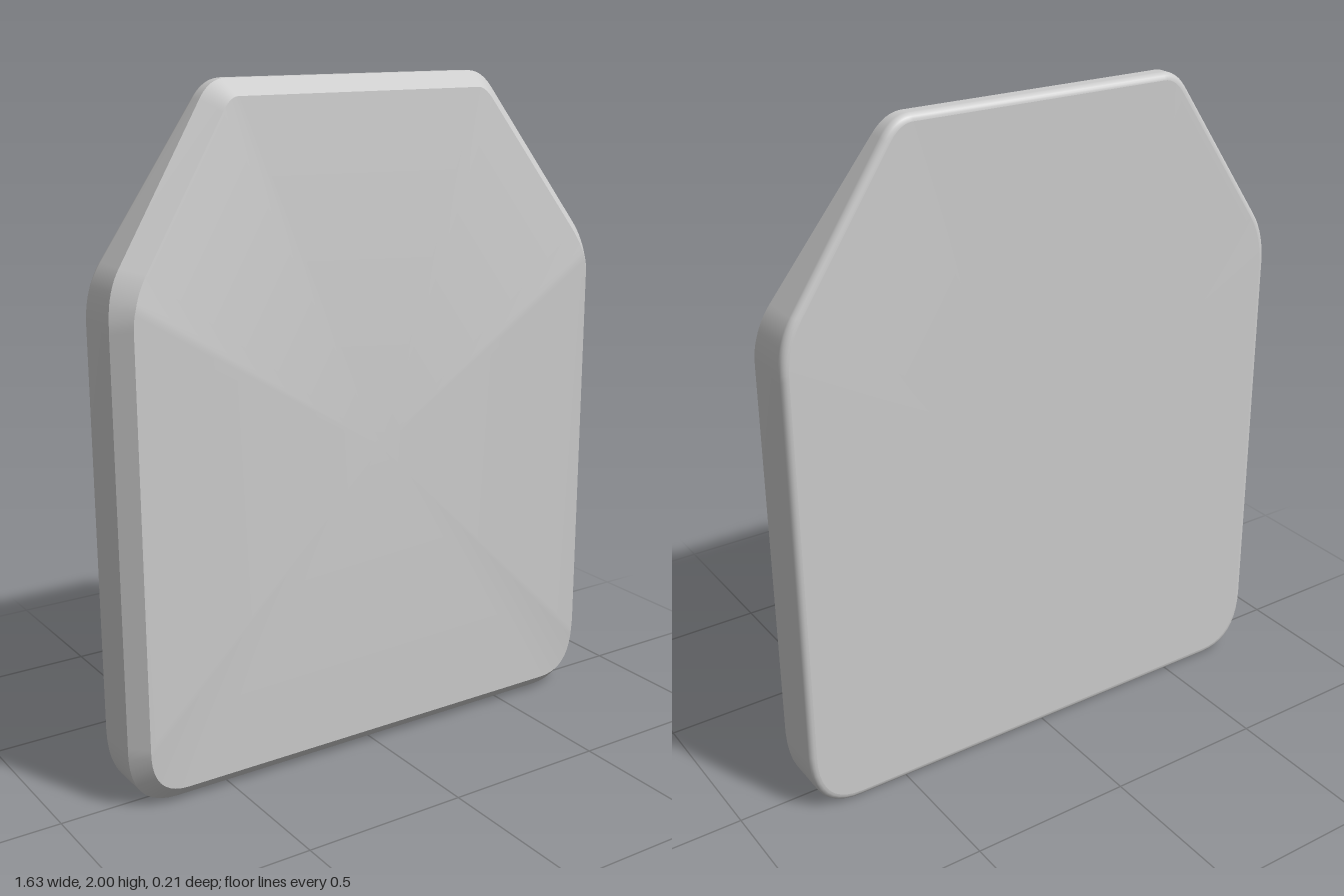
import * as THREE from 'three';

// Right half of the outline, bottom to top: [start, control, end] of each rounded corner
const OUTER = [
  [[0.66, 0], [0.815, 0], [0.815, 0.2]],
  [[0.815, 1.37], [0.815, 1.47], [0.77, 1.535]],
  [[0.49, 1.947], [0.455, 2], [0.405, 2]],
];
const INNER = [
  [[0.65, 0.05], [0.768, 0.05], [0.768, 0.2]],
  [[0.768, 1.38], [0.768, 1.45], [0.722, 1.52]],
  [[0.45, 1.918], [0.425, 1.955], [0.4, 1.955]],
];
const INSET = 0.05;

// Closed counter-clockwise outline, mirrored in x
function outline(corners) {
  const half = corners.flatMap((c) =>
    new THREE.QuadraticBezierCurve(...c.map((p) => new THREE.Vector2(...p))).getPoints(10));
  return [...half, ...half.slice().reverse().map((p) => new THREE.Vector2(-p.x, p.y))];
}
const outer = outline(OUTER);
const inner = outline(INNER);

// Outline pulled inwards by d, with depth given by a rule in y
const ring = (d, depth) => outer.map((p, i) => {
  const q = p.clone().lerp(inner[i], d / INSET);
  return new THREE.Vector3(q.x, q.y, depth(q.y));
});

// Depth rules: the plate leans back above the shoulders
const above = (y, start, end) => Math.max(0, (y - start) / (end - start));
const below = (y) => Math.max(0, 1 - y / 0.2);
const faceDepth = (y) => 0.104 - 0.084 * above(y, 1.44, 1.955) - 0.012 * below(y);
const edgeDepth = (y) => 0.055 - 0.095 * above(y, 1.4, 2) - 0.015 * below(y);
const backDepth = (y) => -0.104 + 0.012 * above(y, 1.4, 2);

function makeMesh(name, points, index) {
  const geometry = new THREE.BufferGeometry().setFromPoints(points);
  geometry.setIndex(index);
  geometry.computeVertexNormals();
  const mesh = new THREE.Mesh(geometry, new THREE.MeshStandardMaterial({ color: 0xcccccc }));
  mesh.name = name;
  return mesh;
}

// Band through successive rings, front to back
function band(name, rings) {
  const n = rings[0].length;
  const index = [];
  for (let r = 0; r < rings.length - 1; r++) {
    for (let i = 0; i < n; i++) {
      const j = (i + 1) % n;
      const a = r * n, b = a + n;
      index.push(a + i, b + i, b + j, a + i, b + j, a + j);
    }
  }
  return makeMesh(name, rings.flat(), index);
}

// Face fanned from a centre point
function fan(name, rim, centre, facesBack) {
  const n = rim.length;
  const index = [];
  for (let i = 0; i < n; i++) {
    const j = (i + 1) % n;
    index.push(n, ...(facesBack ? [j, i] : [i, j]));
  }
  return makeMesh(name, [...rim, centre], index);
}

export function createModel() {
  const group = new THREE.Group();
  group.name = 'plate';

  // Front panel and its chamfer
  const faceRim = ring(INSET, faceDepth);
  const edgeRim = ring(0, edgeDepth);
  group.add(fan('frontFace', faceRim, new THREE.Vector3(0, 0.95, 0.104), false));
  group.add(band('frontChamfer', [faceRim, edgeRim]));

  // Side wall rolling over into the back
  const radius = 0.022;
  const rings = [edgeRim];
  for (let k = 0; k <= 5; k++) {
    const a = (k / 5) * Math.PI / 2;
    rings.push(ring(radius * (1 - Math.cos(a)), (y) => backDepth(y) + radius * (1 - Math.sin(a))));
  }
  group.add(band('sideWall', rings));

  // Back panel
  group.add(fan('backFace', rings[rings.length - 1], new THREE.Vector3(0, 0.95, -0.104), true));
  return group;
}
